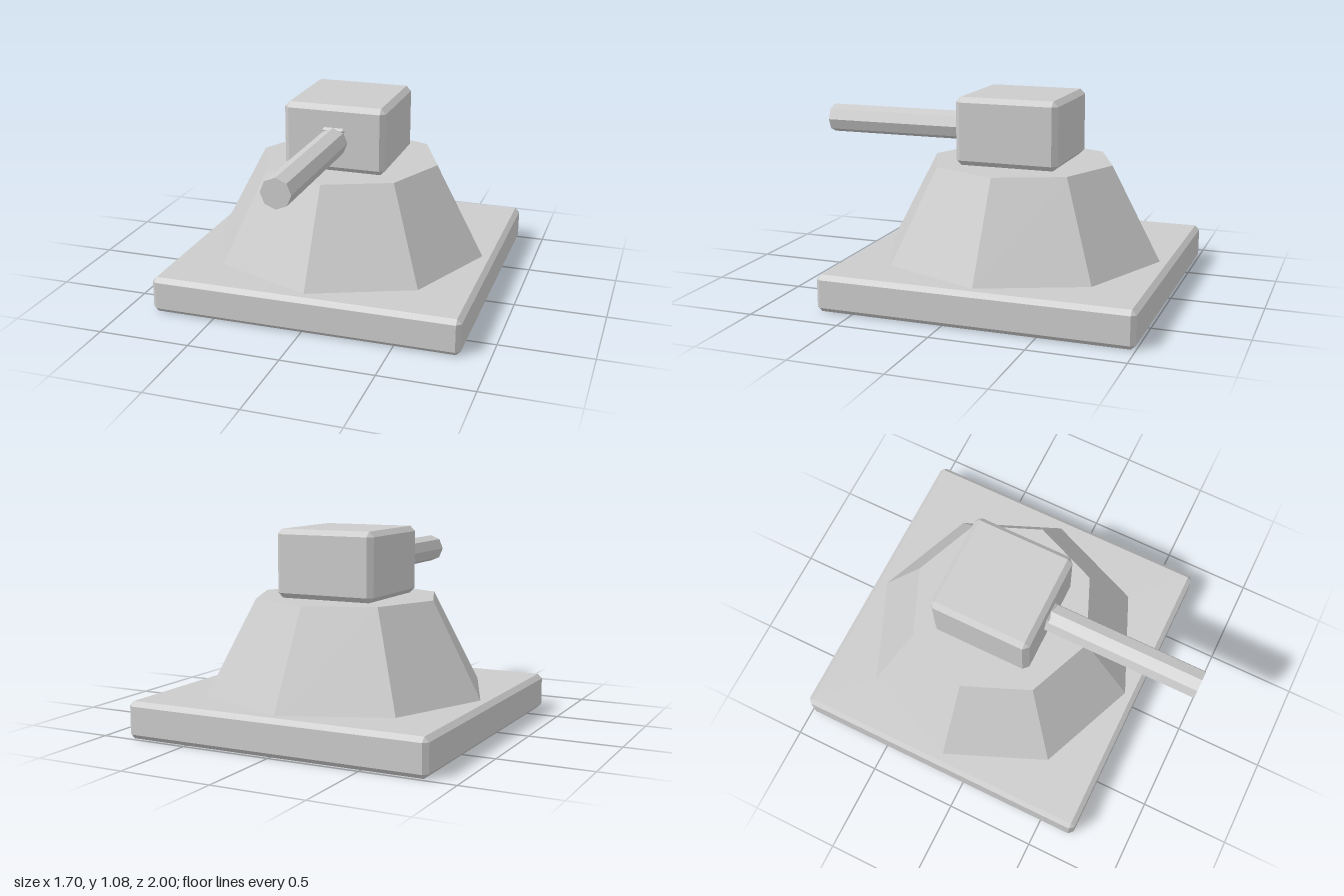
import * as THREE from 'three';
import { ConvexGeometry } from 'three/addons/geometries/ConvexGeometry.js';

const material = new THREE.MeshStandardMaterial({ color: 0xcccccc, flatShading: true });

// Box with a single flat chamfer of size b on every edge
function chamferBox(w, h, d, b) {
  const points = [];
  for (const x of [-1, 1]) for (const y of [-1, 1]) for (const z of [-1, 1]) {
    for (let axis = 0; axis < 3; axis++) {
      const inset = [b, b, b];
      inset[axis] = 0;
      points.push(new THREE.Vector3(
        x * (w / 2 - inset[0]), y * (h / 2 - inset[1]), z * (d / 2 - inset[2])));
    }
  }
  return new ConvexGeometry(points);
}

export function createModel() {
  const model = new THREE.Group();
  const add = (name, geometry, x, y, z) => {
    const mesh = new THREE.Mesh(geometry, material);
    mesh.name = name;
    mesh.position.set(x, y, z);
    model.add(mesh);
    return mesh;
  };

  // Square slab and the eight-sided tapering pedestal on it
  add('base', chamferBox(1.7, 0.2, 1.7, 0.025), 0, 0.1, -0.15);
  add('pedestal', new THREE.CylinderGeometry(0.51, 0.783, 0.51, 8), 0, 0.455, -0.15);

  // Turret block
  add('turret', chamferBox(0.57, 0.37, 0.57, 0.028), 0, 0.895, -0.145);

  // Barrel pointing forward, with the small plate over its root
  const barrel = add('barrel', new THREE.CylinderGeometry(0.08, 0.08, 0.9, 8), 0, 0.88, 0.55);
  barrel.rotation.x = Math.PI / 2;
  add('barrelPlate', chamferBox(0.128, 0.03, 0.1, 0.012), 0, 0.945, 0.102);

  return model;
}
